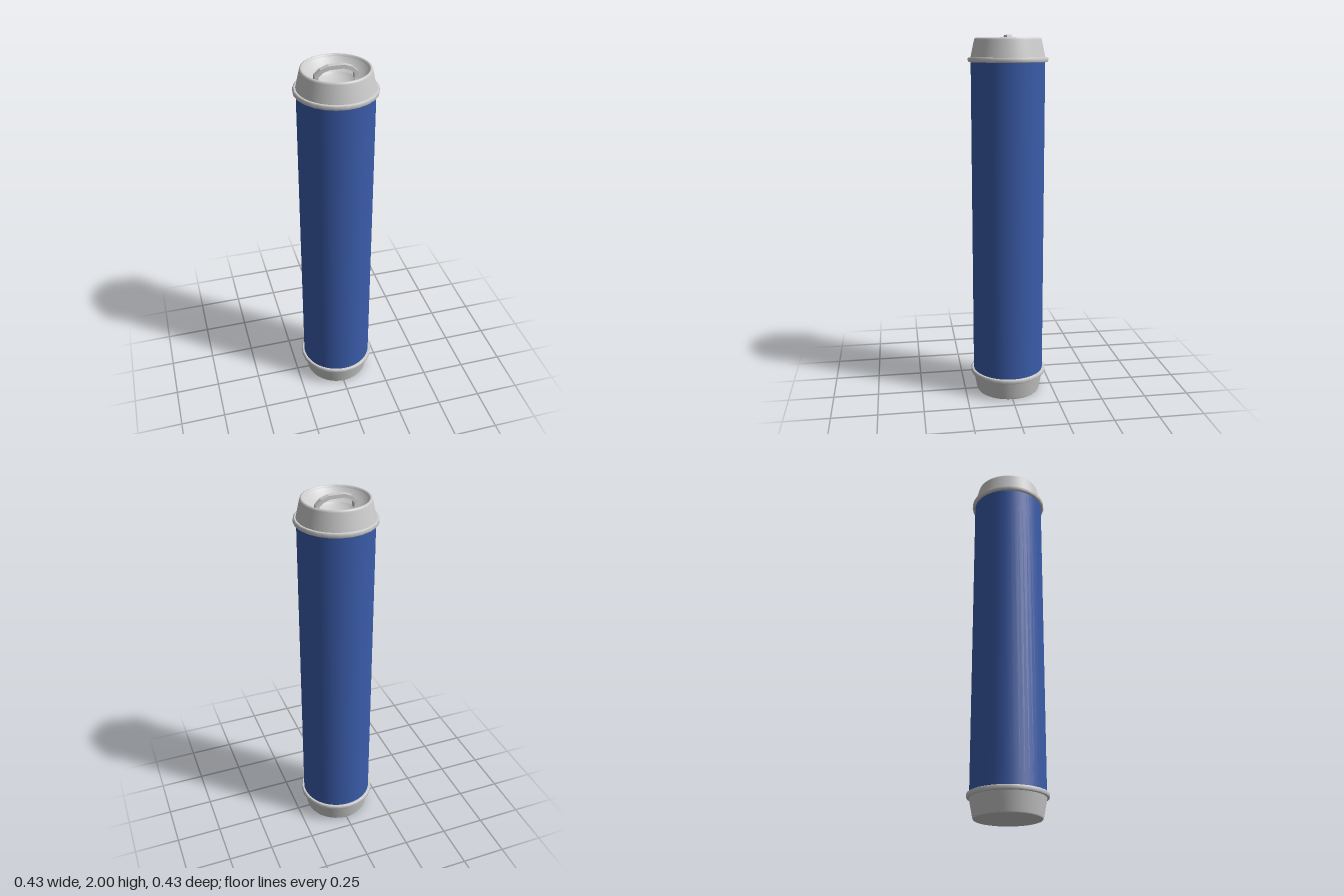
import * as THREE from 'three';

const grey = new THREE.MeshStandardMaterial({ color: 0xcccccc });
const blue = new THREE.MeshStandardMaterial({ color: 0x3a5caa });

// Turned part made of separate bands, so each band joint stays sharp
function turned(name, bands, sides, material = grey) {
  const part = new THREE.Group();
  part.name = name;
  for (const band of bands) {
    const points = band.map(([r, y]) => new THREE.Vector2(r, y));
    part.add(new THREE.Mesh(new THREE.LatheGeometry(points, sides), material));
  }
  return part;
}

// Collar ring around the joint between body and cap
function collar(name, y) {
  return turned(name, [
    [[0.17, y], [0.208, y]],
    [[0.208, y], [0.214, y + 0.004], [0.214, y + 0.021], [0.208, y + 0.025]],
    [[0.208, y + 0.025], [0.17, y + 0.025]],
  ], 24);
}

export function createModel() {
  const model = new THREE.Group();
  model.name = 'canister';

  model.add(turned('body', [[[0.198, 0.115], [0.198, 1.875]]], 48, blue));

  // Bottom cap: flat base and flared wall
  model.add(turned('bottomCap', [
    [[0, 0], [0.176, 0]],
    [[0.176, 0], [0.18, 0.006], [0.2, 0.11]],
  ], 48));
  model.add(collar('bottomCollar', 0.105));
  model.add(collar('topCollar', 1.86));

  // Top cap: tapered wall, rounded rim, sloping dish and a hollow centre
  model.add(turned('topCap', [
    [[0.2, 1.88], [0.179, 1.975], [0.176, 1.983], [0.17, 1.986], [0.164, 1.983], [0.16, 1.975]],
    [[0.16, 1.975], [0.135, 1.945], [0.092, 1.925]],
    [[0.092, 1.925], [0.075, 1.911], [0.04, 1.9], [0, 1.896]],
  ], 48));

  // Arched carrying handle spanning the dish
  const outline = [
    [-0.11, 1.925], [-0.11, 1.957], [-0.08, 1.985], [-0.04, 2], [0.04, 2], [0.08, 1.985],
    [0.11, 1.957], [0.11, 1.925], [0.09, 1.92], [0.09, 1.95], [0.07, 1.969], [0.036, 1.981],
    [-0.036, 1.981], [-0.07, 1.969], [-0.09, 1.95], [-0.09, 1.92],
  ];
  const shape = new THREE.Shape(outline.map(([x, y]) => new THREE.Vector2(x, y)));
  const arch = new THREE.ExtrudeGeometry(shape, { depth: 0.028, bevelEnabled: false });
  arch.translate(0, 0, -0.014);
  const handle = new THREE.Mesh(arch, grey);
  handle.name = 'handle';
  model.add(handle);

  return model;
}
